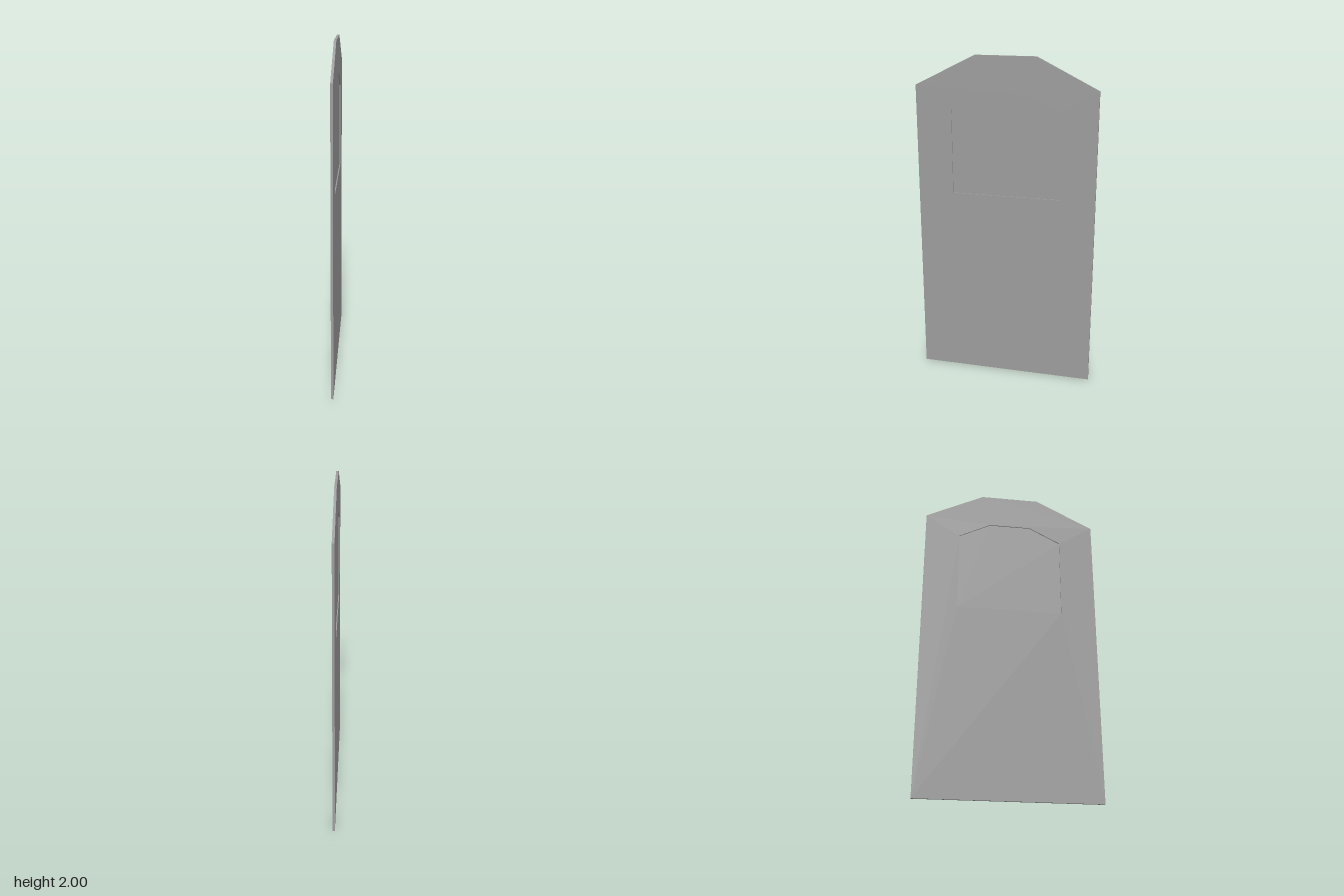
import * as THREE from 'three';

const THICKNESS = 0.014;
const PANE_THICKNESS = 0.002;

// Symmetrical outline: straight sides, with a flat top between two sloped corners
function outline(halfWidth, halfTop, bottom, shoulder, top) {
  return [
    [-halfWidth, bottom], [halfWidth, bottom], [halfWidth, shoulder],
    [halfTop, top], [-halfTop, top], [-halfWidth, shoulder],
  ].map(([x, y]) => new THREE.Vector2(x, y));
}

// Extrudes a shape centred on x = 0, with its width running along z
function slab(name, shape, depth, material) {
  const geometry = new THREE.ExtrudeGeometry(shape, { depth, bevelEnabled: false });
  geometry.translate(0, 0, -depth / 2);
  geometry.rotateY(-Math.PI / 2);
  const mesh = new THREE.Mesh(geometry, material);
  mesh.name = name;
  return mesh;
}

export function createModel() {
  const group = new THREE.Group();
  group.name = 'door';
  const material = new THREE.MeshStandardMaterial({ color: 0x9d9d9d, flatShading: true });

  const windowOutline = outline(0.325, 0.13, 1.175, 1.685, 1.785);

  // Door leaf with the window opening cut through
  const leaf = new THREE.Shape(outline(0.54, 0.18, 0, 1.82, 2));
  leaf.holes.push(new THREE.Path(windowOutline));
  group.add(slab('doorLeaf', leaf, THICKNESS, material));

  // Thin pane, recessed from both faces
  group.add(slab('windowPane', new THREE.Shape(windowOutline), PANE_THICKNESS, material));

  return group;
}
